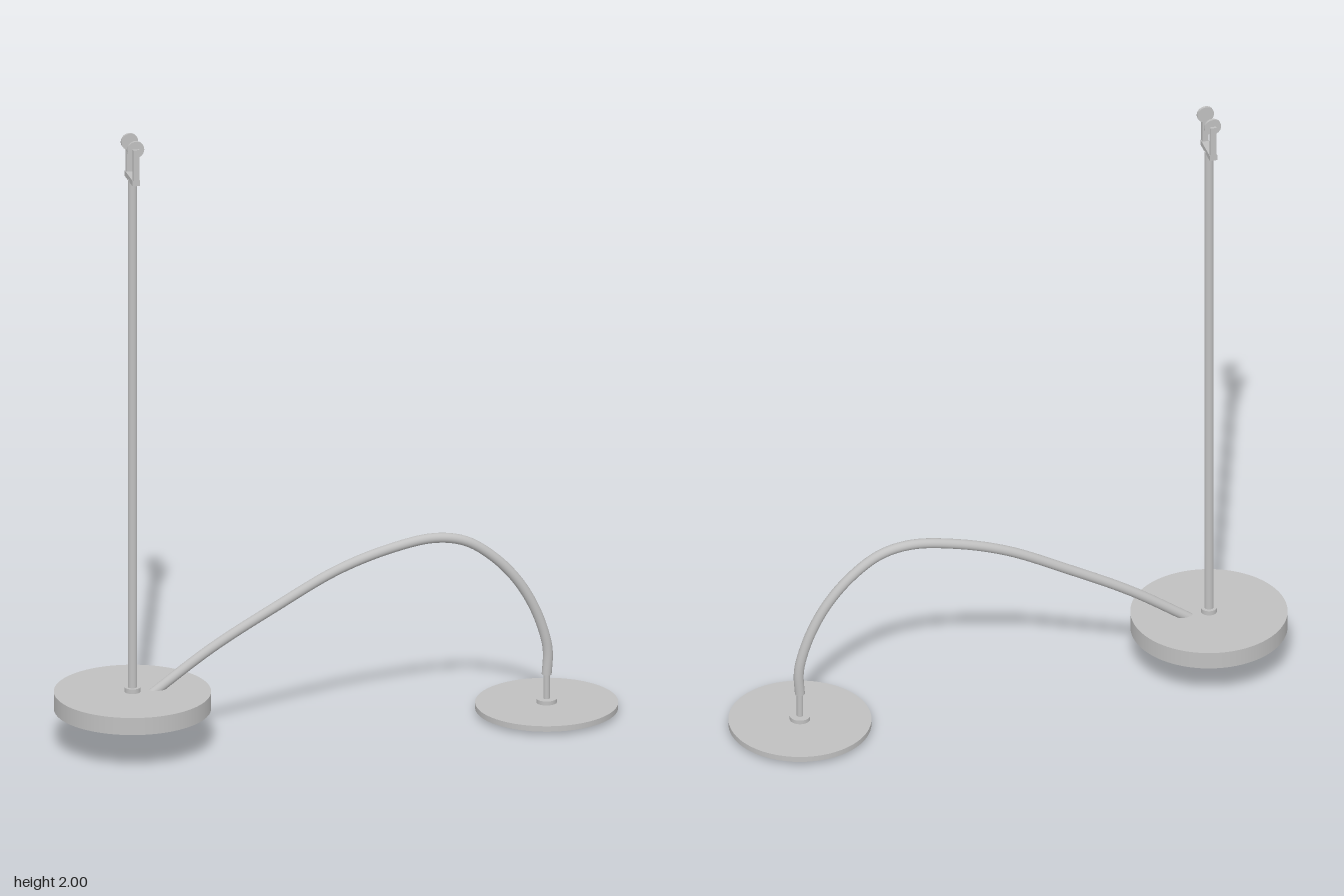
import * as THREE from 'three';

const BASE_X = -0.652, LAMP_X = 0.667;

export function createModel() {
  const model = new THREE.Group();
  model.name = 'archedArmLamp';
  const metal = new THREE.MeshStandardMaterial({ color: 0xc0c0c0 });
  metal.name = 'brushedGrey';

  const add = (parent, name, geometry, x, y, z = 0) => {
    const mesh = new THREE.Mesh(geometry, metal);
    mesh.name = name;
    mesh.position.set(x, y, z);
    parent.add(mesh);
    return mesh;
  };
  // upright cylinder between two heights
  const rod = (parent, name, r, y0, y1, x, sides = 32) =>
    add(parent, name, new THREE.CylinderGeometry(r, r, y1 - y0, sides), x, (y0 + y1) / 2);
  // round disc with its axis along z
  const zDisc = (parent, name, r, depth, x, y, z) =>
    add(parent, name, new THREE.CylinderGeometry(r, r, depth, 32).rotateX(Math.PI / 2), x, y, z);

  // Round hub with the upright pole
  const stand = new THREE.Group();
  stand.name = 'stand';
  model.add(stand);
  rod(stand, 'hubDisc', 0.243, 0.126, 0.182, BASE_X, 96);
  rod(stand, 'poleCollar', 0.025, 0.18, 0.197, BASE_X);
  rod(stand, 'pole', 0.0145, 0.18, 1.862, BASE_X);
  zDisc(stand, 'lowerKnob', 0.027, 0.06, BASE_X, 0.129, 0);

  // Fork at the top of the pole
  const fork = new THREE.Group();
  fork.name = 'fork';
  model.add(fork);
  add(fork, 'forkBridge', new THREE.BoxGeometry(0.024, 0.018, 0.1), BASE_X, 1.866);
  for (const side of [1, -1]) {
    add(fork, 'forkProng', new THREE.BoxGeometry(0.02, 0.115, 0.013), BASE_X, 1.9175, side * 0.0435);
    zDisc(fork, 'forkDisc', 0.027, 0.008, BASE_X, 1.973, side * 0.038);
  }

  // Arched arm from the hub to the lamp
  const path = new THREE.CatmullRomCurve3([
    [-0.592, 0.168], [-0.4, 0.302], [-0.2, 0.417], [0, 0.522], [0.17, 0.578],
    [0.31, 0.6], [0.41, 0.581], [0.5, 0.52], [0.575, 0.437], [0.63, 0.34],
    [0.664, 0.24], [0.671, 0.19], [LAMP_X, 0.122],
  ].map(([x, y]) => new THREE.Vector3(x, y, 0)));
  add(model, 'arm', new THREE.TubeGeometry(path, 96, 0.0155, 20), 0, 0);
  const start = add(model, 'armStartCap', new THREE.CircleGeometry(0.0155, 20), 0, 0);
  start.position.copy(path.getPoint(0));
  start.lookAt(start.position.clone().sub(path.getTangent(0)));
  const end = add(model, 'armEndCap', new THREE.CircleGeometry(0.0155, 20), 0, 0);
  end.position.copy(path.getPoint(1));
  end.lookAt(end.position.clone().add(path.getTangent(1)));

  // Flat lamp head hanging from the arm
  const lamp = new THREE.Group();
  lamp.name = 'lampHead';
  model.add(lamp);
  rod(lamp, 'lampStem', 0.01, 0.03, 0.14, LAMP_X, 24);
  rod(lamp, 'lampCollar', 0.032, 0.028, 0.043, LAMP_X);
  rod(lamp, 'lampPlate', 0.221, 0.012, 0.03, LAMP_X, 96);
  rod(lamp, 'lampDiffuser', 0.178, 0, 0.013, LAMP_X, 96);

  return model;
}
